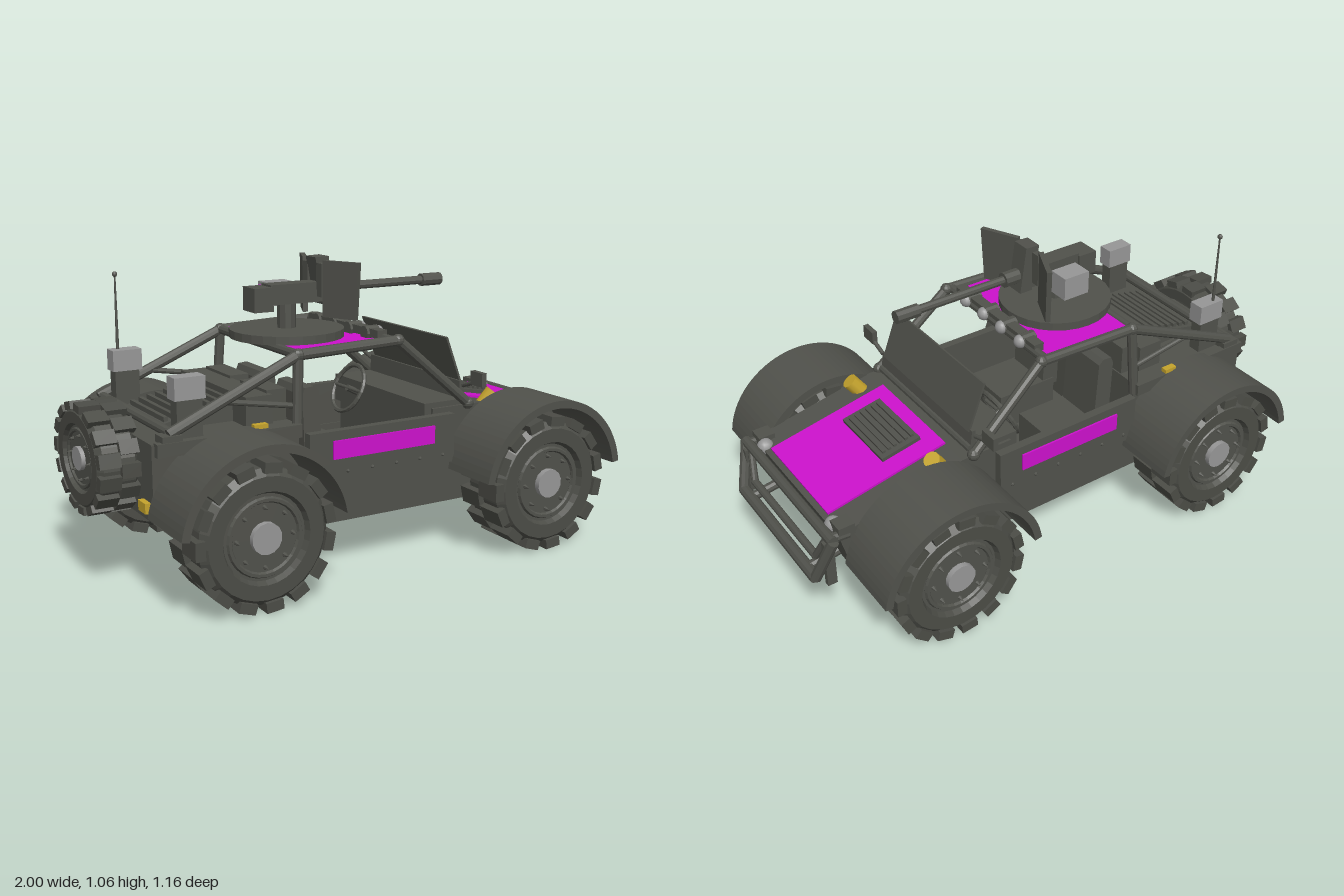
import * as THREE from 'three';

const mat = (name, color, extra = {}) => {
  const m = new THREE.MeshStandardMaterial({ color, ...extra });
  m.name = name;
  return m;
};

export function createModel() {
  const body = mat('body grey', 0x50514b, { flatShading: true });
  const tyreMat = mat('tyre grey', 0x4b4c46, { flatShading: true });
  const accent = mat('magenta', 0xcc11cc);
  const pale = mat('pale grey', 0x969696);
  const amber = mat('amber', 0xc4a32c);
  const root = new THREE.Group();
  const V = (x, y, z) => new THREE.Vector3(x, y, z);

  const add = (name, geo, m, x = 0, y = 0, z = 0, parent = root) => {
    const mesh = new THREE.Mesh(geo, m);
    mesh.name = name;
    mesh.position.set(x, y, z);
    parent.add(mesh);
    return mesh;
  };
  // box given by its limits on each axis
  const box = (name, m, x0, x1, y0, y1, z0, z1, parent) =>
    add(name, new THREE.BoxGeometry(x1 - x0, y1 - y0, z1 - z0), m,
      (x0 + x1) / 2, (y0 + y1) / 2, (z0 + z1) / 2, parent);
  // round bar between two points
  const bar = (name, a, b, r = 0.015, m = body, r2 = r) => {
    const mesh = add(name, new THREE.CylinderGeometry(r2, r, a.distanceTo(b), 10), m);
    mesh.position.lerpVectors(a, b, 0.5);
    mesh.quaternion.setFromUnitVectors(V(0, 1, 0), b.clone().sub(a).normalize());
    return mesh;
  };
  // side outline pushed out between z0 and z1
  const slab = (name, pts, z0, z1, m = body) => {
    const shape = new THREE.Shape(pts.map(p => new THREE.Vector2(...p)));
    return add(name, new THREE.ExtrudeGeometry(shape, { depth: z1 - z0, bevelEnabled: false }), m, 0, 0, z0);
  };
  const sides = fn => [1, -1].forEach(fn);

  // Hull with open cockpit
  slab('hull', [[-0.86, 0.54], [-0.86, 0.28], [-0.74, 0.17], [0.7, 0.17], [0.86, 0.27], [0.9, 0.43],
    [0.42, 0.525], [0.22, 0.525], [0.22, 0.24], [-0.33, 0.24], [-0.33, 0.54]], -0.32, 0.32);
  box('dashboard', body, 0.19, 0.36, 0.44, 0.545, -0.31, 0.31);
  sides(s => {
    box('sill', body, -0.36, 0.34, 0.19, 0.34, s * 0.3325 - 0.0125, s * 0.3325 + 0.0125);
    box('door', body, -0.31, 0.29, 0.33, 0.508, s * 0.342 - 0.016, s * 0.342 + 0.016);
    box('doorPanel', accent, -0.22, 0.2, 0.41, 0.475, s * 0.361 - 0.004, s * 0.361 + 0.004);
    for (let i = 0; i < 6; i++)
      add('doorRivet', new THREE.SphereGeometry(0.007, 6, 4), body, -0.26 + i * 0.1, 0.362, s * 0.358);
    box('sideRail', body, -0.85, -0.33, 0.5, 0.545, s * 0.33 - 0.015, s * 0.33 + 0.015);
  });

  // Wheels: ribbed tyre, dished rim, hub and bolts; axle along local z, outside at +z
  const tyreGeo = new THREE.LatheGeometry([[0.15, -0.1], [0.205, -0.1], [0.228, -0.075], [0.228, 0.075],
    [0.205, 0.1], [0.155, 0.1], [0.145, 0.08]].map(p => new THREE.Vector2(...p)), 28).rotateX(Math.PI / 2);
  const makeWheel = name => {
    const g = new THREE.Group();
    g.name = name;
    add('tyre', tyreGeo, tyreMat, 0, 0, 0, g);
    add('rim', new THREE.CylinderGeometry(0.15, 0.15, 0.16, 28).rotateX(Math.PI / 2), body, 0, 0, 0, g);
    add('rimRing', new THREE.TorusGeometry(0.125, 0.01, 6, 28), body, 0, 0, 0.082, g);
    add('hub', new THREE.CylinderGeometry(0.053, 0.053, 0.03, 14).rotateX(Math.PI / 2), pale, 0, 0, 0.085, g);
    for (let i = 0; i < 8; i++) {
      const a = i * Math.PI / 4;
      add('bolt', new THREE.ConeGeometry(0.01, 0.03, 6).rotateX(Math.PI / 2), body,
        0.1 * Math.cos(a), 0.1 * Math.sin(a), 0.09, g);
    }
    for (let row = 0; row < 2; row++) for (let i = 0; i < 15; i++) {
      const a = (i + row * 0.5) * Math.PI * 2 / 15;
      add('treadLug', new THREE.BoxGeometry(0.035, 0.062, 0.102), tyreMat,
        0.231 * Math.cos(a), 0.231 * Math.sin(a), row ? 0.052 : -0.052, g).rotation.z = a;
    }
    root.add(g);
    return g;
  };
  sides(s => [-0.575, 0.58].forEach(x => {
    const w = makeWheel('wheel');
    w.position.set(x, 0.25, s * 0.453);
    if (s < 0) w.rotation.y = Math.PI;
    bar('axle', V(x, 0.25, s * 0.3), V(x, 0.25, s * 0.4), 0.05);
    // Arched fender
    const a0 = 0.15, a1 = Math.PI - 0.15, arch = new THREE.Shape();
    arch.absarc(0, 0, 0.308, a0, a1, false);
    arch.absarc(0, 0, 0.28, a1, a0, true);
    add('fender', new THREE.ExtrudeGeometry(arch, { depth: 0.265, bevelEnabled: false, curveSegments: 18 }),
      body, x, 0.255, s > 0 ? 0.317 : -0.582);
  }));
  const spare = makeWheel('spareWheel');
  spare.position.set(-0.925, 0.44, 0);
  spare.rotation.y = -Math.PI / 2;
  spare.scale.set(0.93, 0.76, 0.72);

  // Hood panel and vent, tilted with the nose
  const hood = new THREE.Group();
  hood.name = 'hood';
  hood.position.set(0.65, 0.482, 0);
  hood.rotation.z = -0.195;
  root.add(hood);
  box('hoodPanel', accent, -0.235, 0.235, 0, 0.008, -0.213, 0.213, hood);
  box('ventFrame', body, -0.18, -0.025, 0, 0.022, -0.14, 0.14, hood);
  for (let i = 0; i < 6; i++)
    box('ventSlat', body, -0.168 + i * 0.023, -0.156 + i * 0.023, 0.02, 0.032, -0.12, 0.12, hood);

  // Lamps
  sides(s => {
    bar('marker', V(0.47, 0.48, s * 0.265), V(0.52, 0.55, s * 0.285), 0.03, amber);
    box('cornerMount', body, 0.84, 0.9, 0.42, 0.46, s * 0.295 - 0.03, s * 0.295 + 0.03);
    add('headlamp', new THREE.SphereGeometry(0.03, 12, 8), pale, 0.885, 0.428, s * 0.255);
    box('rearLamp', amber, -0.88, -0.855, 0.31, 0.345, s * 0.27 - 0.03, s * 0.27 + 0.03);
    box('sideLamp', amber, -0.51, -0.46, 0.55, 0.565, s * 0.335 - 0.012, s * 0.335 + 0.012);
  });

  // Front bumper frame
  bar('bumperTop', V(0.925, 0.425, -0.33), V(0.925, 0.425, 0.33), 0.019);
  bar('bumperBottom', V(0.978, 0.26, -0.28), V(0.978, 0.26, 0.28), 0.021);
  bar('bumperMiddle', V(0.95, 0.31, -0.24), V(0.95, 0.31, 0.24), 0.014);
  sides(s => {
    bar('bumperEnd', V(0.925, 0.425, s * 0.33), V(0.978, 0.26, s * 0.28), 0.02);
    bar('bumperBrace', V(0.925, 0.42, s * 0.29), V(0.95, 0.31, s * 0.235), 0.013);
    bar('bumperArm', V(0.85, 0.28, s * 0.22), V(0.975, 0.26, s * 0.22), 0.018);
    bar('bumperUpperArm', V(0.86, 0.42, s * 0.31), V(0.925, 0.425, s * 0.31), 0.018);
    box('bumperSide', body, 0.915, 0.95, 0.23, 0.41, s * 0.3 - 0.01, s * 0.3 + 0.01);
  });

  // Roll cage
  sides(s => {
    const path = [V(-0.8, 0.565, s * 0.315), V(-0.32, 0.772, s * 0.3), V(0.08, 0.785, s * 0.3), V(0.375, 0.53, s * 0.32)];
    path.slice(1).forEach((p, i) => {
      bar('cageTube', path[i], p, 0.019);
      add('cageJoint', new THREE.SphereGeometry(0.023, 10, 8), body, p.x, p.y, p.z);
    });
    bar('cagePost', path[1], V(-0.335, 0.5, s * 0.315), 0.018);
    bar('cageBrace', V(-0.33, 0.6, s * 0.3), V(-0.6, 0.645, s * 0.3), 0.01);
    box('cageFoot', body, -0.83, -0.76, 0.54, 0.565, s * 0.31 - 0.03, s * 0.31 + 0.03);
  });
  [[-0.32, 0.772], [0.06, 0.785], [0.37, 0.54], [-0.79, 0.568]].forEach(([x, y]) =>
    bar('cageCrossTube', V(x, y, -0.3), V(x, y, 0.3), 0.017));
  box('roofPanel', accent, -0.31, 0.045, 0.772, 0.781, -0.288, 0.288);
  box('lampBar', body, 0.03, 0.07, 0.785, 0.815, -0.245, 0.245);
  [-0.17, -0.056, 0.056, 0.17].forEach(z => {
    add('roofLamp', new THREE.SphereGeometry(0.025, 12, 8), pale, 0.075, 0.797, z);
    bar('roofLampHousing', V(0.02, 0.797, z), V(0.075, 0.797, z), 0.026);
  });

  // Windscreen plate, cowl and mirrors
  slab('windscreen', [[0.298, 0.772], [0.306, 0.774], [0.372, 0.602], [0.364, 0.6]], -0.285, 0.285);
  slab('cowl', [[0.352, 0.61], [0.366, 0.61], [0.378, 0.52], [0.35, 0.52]], -0.3, 0.3);
  sides(s => {
    bar('mirrorArm', V(0.36, 0.595, s * 0.31), V(0.36, 0.62, s * 0.385), 0.008);
    box('mirror', body, 0.35, 0.37, 0.61, 0.66, s * 0.4 - 0.034, s * 0.4 + 0.034);
  });

  // Seats and steering
  sides(s => {
    box('seatCushion', body, -0.25, 0, 0.24, 0.39, s * 0.16 - 0.1, s * 0.16 + 0.1);
    slab('seatBack', [[-0.2, 0.36], [-0.215, 0.63], [-0.235, 0.648], [-0.27, 0.645], [-0.28, 0.62], [-0.27, 0.36]],
      s * 0.16 - 0.095, s * 0.16 + 0.095);
  });
  const steering = add('steeringWheel', new THREE.TorusGeometry(0.095, 0.009, 6, 24).rotateY(Math.PI / 2),
    body, 0.155, 0.52, -0.155);
  steering.rotation.z = -0.46;
  bar('steeringColumn', V(0.15, 0.522, -0.155), V(0.27, 0.46, -0.155), 0.013);
  sides(s => bar('steeringSpoke', V(0.155, 0.52, -0.155), V(0.155, 0.52, -0.155 + s * 0.09), 0.007));

  // Rear deck: louvres, locker and pods
  slab('louvreBase', [[-0.76, 0.54], [-0.5, 0.54], [-0.5, 0.615], [-0.76, 0.56]], -0.165, 0.165);
  for (let i = 0; i < 8; i++)
    box('louvre', body, -0.745 + i * 0.031, -0.73 + i * 0.031, 0.555 + i * 0.0066, 0.58 + i * 0.0066, -0.15, 0.15);
  box('locker', body, -0.5, -0.4, 0.54, 0.64, -0.265, 0.265);
  sides(s => box('lockerPack', body, -0.41, -0.335, 0.54, 0.65, s * 0.14 - 0.1, s * 0.14 + 0.1));
  sides(s => {
    box('podBase', body, -0.76, -0.67, 0.54, 0.665, s * 0.27 - 0.025, s * 0.27 + 0.025);
    box('pod', pale, -0.768, -0.66, 0.665, 0.74, s * 0.27 - 0.03, s * 0.27 + 0.03);
  });
  bar('antenna', V(-0.735, 0.73, -0.28), V(-0.735, 1.005, -0.28), 0.006, body, 0.003);
  add('antennaTip', new THREE.SphereGeometry(0.01, 8, 6), body, -0.735, 1.007, -0.28);

  // Turret ring and mounted gun
  add('turretDisc', new THREE.CylinderGeometry(0.207, 0.207, 0.03, 28), body, -0.2, 0.798, 0);
  bar('turretPost', V(-0.2, 0.8, 0), V(-0.2, 0.91, 0), 0.034);
  box('receiver', body, -0.28, -0.06, 0.9, 0.972, -0.035, 0.035);
  box('rearGrip', body, -0.35, -0.275, 0.88, 0.965, -0.045, 0.045);
  box('ammoBox', pale, -0.235, -0.13, 0.88, 0.965, -0.15, -0.07);
  box('ammoBoxPlate', accent, -0.24, -0.234, 0.892, 0.953, -0.14, -0.08);
  box('ammoFeed', body, -0.21, -0.15, 0.9, 0.94, -0.075, -0.03);
  bar('barrel', V(-0.07, 0.945, 0), V(0.42, 0.945, 0), 0.016);
  bar('barrelSleeve', V(-0.05, 0.945, 0), V(0.03, 0.945, 0), 0.028);
  bar('muzzle', V(0.38, 0.945, 0), V(0.468, 0.945, 0), 0.024);
  slab('shieldCentre', [[-0.1, 1.06], [-0.045, 1.062], [-0.02, 0.89], [-0.07, 0.89]], -0.035, 0.035);
  sides(s => {
    const outline = new THREE.Shape([[0.02, 0.85], [0.16, 0.85], [0.172, 1.052], [0.02, 1.052]]
      .map(p => new THREE.Vector2(s * p[0], p[1])));
    const wing = add('shieldWing', new THREE.ExtrudeGeometry(outline, { depth: 0.018, bevelEnabled: false })
      .rotateY(-Math.PI / 2), body, -0.085, 0, s * 0.045);
    wing.rotation.y = s * 0.44;
    // a plate bridging the gap beside the centre block
    box('shieldBridge', body, -0.095, -0.07, 0.92, 1.04, s * 0.05 - 0.02, s * 0.05 + 0.02);
  });
  return root;
}
